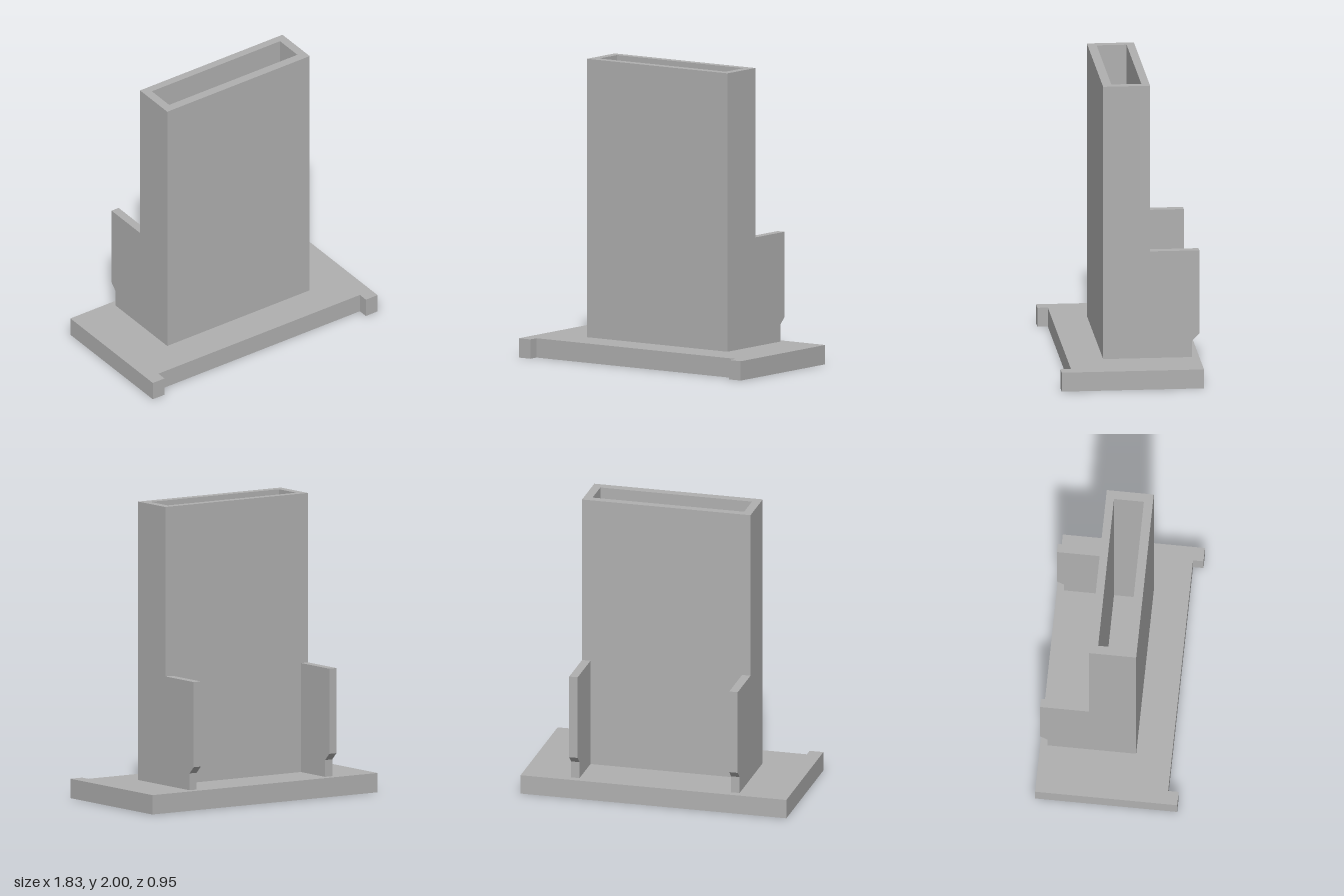
import * as THREE from 'three';

const WALL = 0.058;      // sleeve wall and fin thickness
const HALF_W = 0.58;     // half width of the sleeve
const BASE_H = 0.13;     // base plate thickness

const polygon = (points) => new THREE.Shape(points.map(([x, y]) => new THREE.Vector2(x, y)));

// Extrude a plan given as (x, -z) upward from height y
function extrudeUp(shape, y, height) {
  const geo = new THREE.ExtrudeGeometry(shape, { depth: height, bevelEnabled: false });
  return geo.rotateX(-Math.PI / 2).translate(0, y, 0);
}

export function createModel() {
  const group = new THREE.Group();
  const grey = new THREE.MeshStandardMaterial({ color: 0xb0b0b0, flatShading: true });
  grey.name = 'plain grey';

  const add = (name, geo) => {
    const mesh = new THREE.Mesh(geo, grey);
    mesh.name = name;
    group.add(mesh);
  };

  // Base plate with a small tab at each front corner
  add('basePlate', extrudeUp(polygon([
    [-0.915, 0.475], [-0.915, -0.475], [-0.82, -0.475], [-0.82, -0.405],
    [0.82, -0.405], [0.82, -0.475], [0.915, -0.475], [0.915, 0.475],
  ]), 0, BASE_H));

  // Tall rectangular sleeve, hollow down to the base
  const plan = polygon([[-HALF_W, -0.167], [HALF_W, -0.167], [HALF_W, 0.147], [-HALF_W, 0.147]]);
  const inner = HALF_W - WALL;
  plan.holes.push(polygon([[-inner, -0.107], [-inner, 0.093], [inner, 0.093], [inner, -0.107]]));
  add('sleeve', extrudeUp(plan, BASE_H, 2 - BASE_H));

  // Rear fins with a chamfered notch at the foot, profile in (z, y)
  const profile = polygon([
    [-0.147, BASE_H], [-0.147, 0.862], [-0.475, 0.862],
    [-0.475, 0.29], [-0.427, 0.243], [-0.427, BASE_H],
  ]);
  for (const [name, outerX] of [['leftFin', HALF_W], ['rightFin', -HALF_W + WALL]]) {
    const geo = new THREE.ExtrudeGeometry(profile, { depth: WALL, bevelEnabled: false });
    add(name, geo.rotateY(-Math.PI / 2).translate(outerX, 0, 0));
  }

  return group;
}
